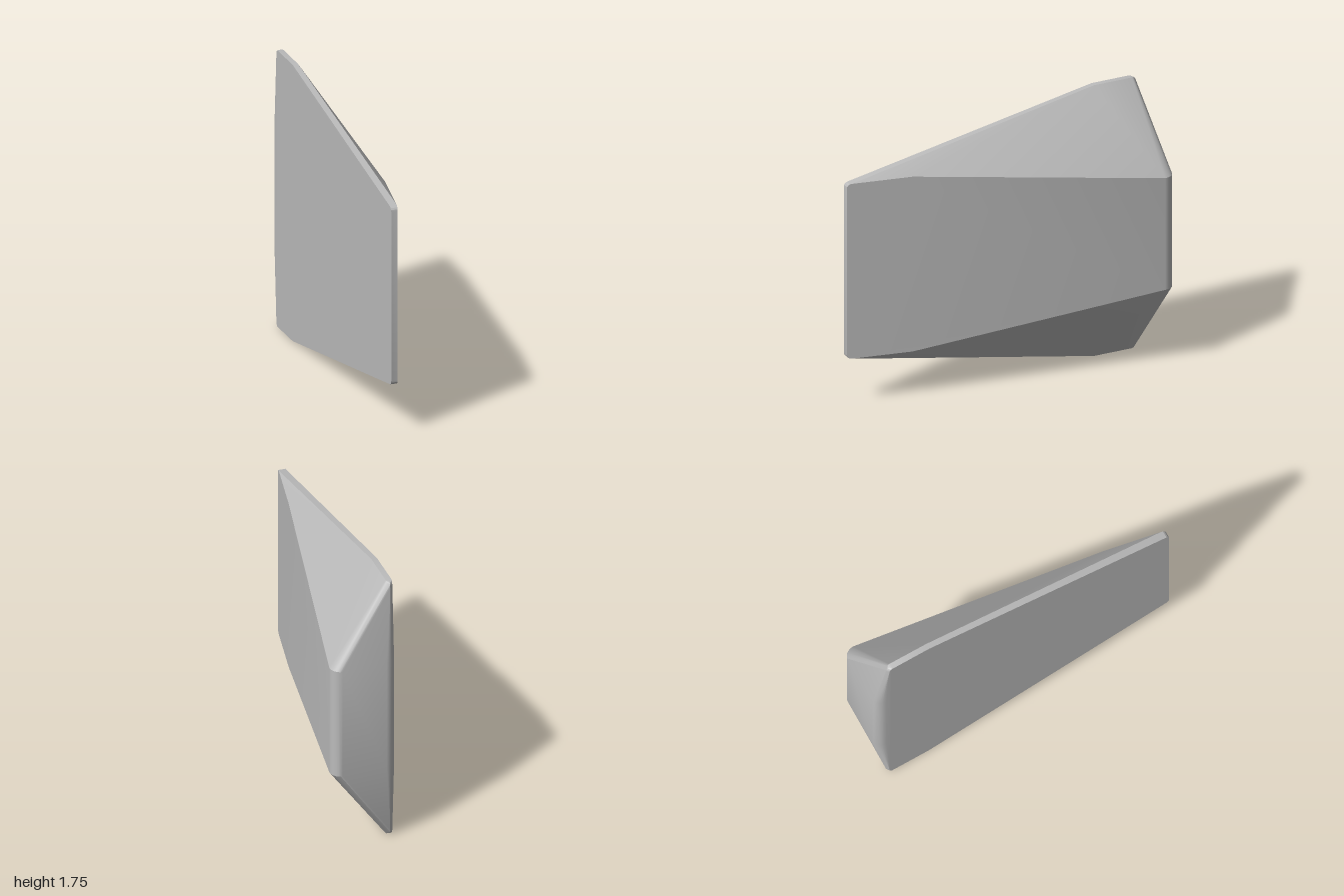
import * as THREE from 'three';
import { ConvexGeometry } from 'three/addons/geometries/ConvexGeometry.js';
import { toCreasedNormals } from 'three/addons/utils/BufferGeometryUtils.js';

const HEIGHT = 1.75;

export function createModel() {
  const grey = new THREE.MeshStandardMaterial({ color: 0xbbbbbb });
  grey.name = 'grey';

  const points = [];
  // Each point is mirrored between the upper and lower half.
  const add = (x, y, z) => points.push(
    new THREE.Vector3(x, y, z), new THREE.Vector3(x, HEIGHT - y, z));

  // Slightly tilted flat side, and the wedge face opposite it.
  const flatX = (z) => -0.18 - 0.02 * (1 - z) / 1.93;
  const wedgeX = (z) => -0.14 + 0.34 * (1 - z) / 1.93;

  // Thin front edge with rounded corners.
  for (let i = 0; i <= 4; i++) {
    const a = (i / 4) * Math.PI / 2;
    const y = 1.41 + 0.03 * Math.sin(a), z = 0.97 + 0.03 * Math.cos(a);
    add(flatX(z), y, z);
    add(wedgeX(z), y, z);
  }

  // Shoulder where the wedge face breaks into the slope.
  add(wedgeX(0.6), 1.44, 0.6);

  // Rim at the tall end, with a rounded rear corner.
  add(flatX(-0.64), HEIGHT, -0.64);
  add(-0.162, HEIGHT, -0.64);
  for (let i = 0; i <= 4; i++) {
    const a = (i / 4) * Math.PI / 2;
    const y = 1.715 + 0.035 * Math.cos(a), z = -0.89 - 0.035 * Math.sin(a);
    add(-0.2, y, z + 0.015 * Math.sin(a));
    add(-0.182, y, z);
    add(-0.164, y, z + 0.012 * Math.sin(a));
  }

  // Thick rear edge, rounded on both sides.
  for (let i = 0; i <= 8; i++) {
    const a = (i / 8) * Math.PI / 2;
    const z = -0.93 - 0.07 * Math.sin(a);
    add(0.14 + 0.06 * Math.cos(a), 1.236, z);
    add(-0.135 - 0.065 * Math.cos(a), 1.236, z);
  }

  const body = new THREE.Mesh(toCreasedNormals(new ConvexGeometry(points), 0.35), grey);
  body.name = 'wedgeBody';
  const group = new THREE.Group();
  group.name = 'wedge';
  group.add(body);
  return group;
}
